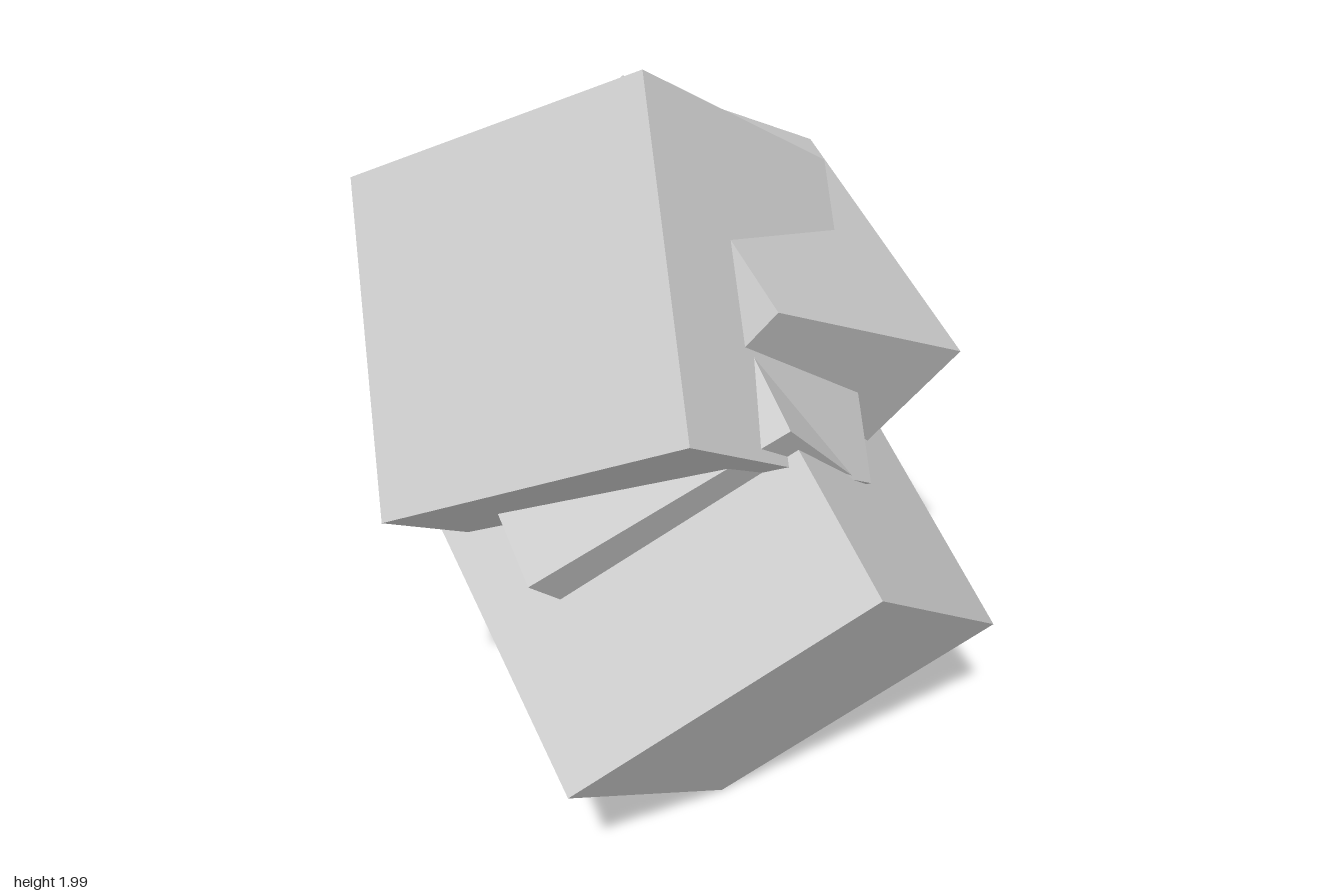
import * as THREE from 'three';

// Each cube: centre, edge length, and two edge directions (the third is their cross product)
const CUBES = [
  { name: 'baseCube', size: 0.85, at: [0.10, 0.745, 0.125], u: [-0.12, 0.52, 0.66], v: [0.61, 0.52, -0.29] },
  { name: 'topCube', size: 0.805, at: [-0.148, 1.313, 0.125], u: [-0.72, -0.36, 0.02], v: [0.30, -0.57, 0.49] },
  { name: 'sideCube', size: 0.74, at: [-0.048, 1.216, -0.149], u: [0.27, -0.36, -0.59], v: [-0.53, 0.29, -0.42] },
  { name: 'coreCube', size: 0.68, at: [-0.05, 1.072, 0.088], u: [0.506, 0.37, -0.26], v: [0.14, -0.69, -0.71] },
  { name: 'backCube', size: 0.58, at: [-0.31, 1.033, -0.432], u: [0.49, 0.30, 0.07], v: [-0.31, 0.47, 0.15] },
];

function makeCube({ name, size, at, u, v }, material) {
  const x = new THREE.Vector3(...u).normalize();
  const z = x.clone().cross(new THREE.Vector3(...v)).normalize();
  const y = z.clone().cross(x);
  const cube = new THREE.Mesh(new THREE.BoxGeometry(size, size, size), material);
  cube.name = name;
  cube.quaternion.setFromRotationMatrix(new THREE.Matrix4().makeBasis(x, y, z));
  cube.position.set(...at);
  return cube;
}

export function createModel() {
  const group = new THREE.Group();
  group.name = 'tumbledCubes';
  const material = new THREE.MeshStandardMaterial({ color: 0xcccccc, flatShading: true });
  for (const spec of CUBES) group.add(makeCube(spec, material));
  return group;
}
